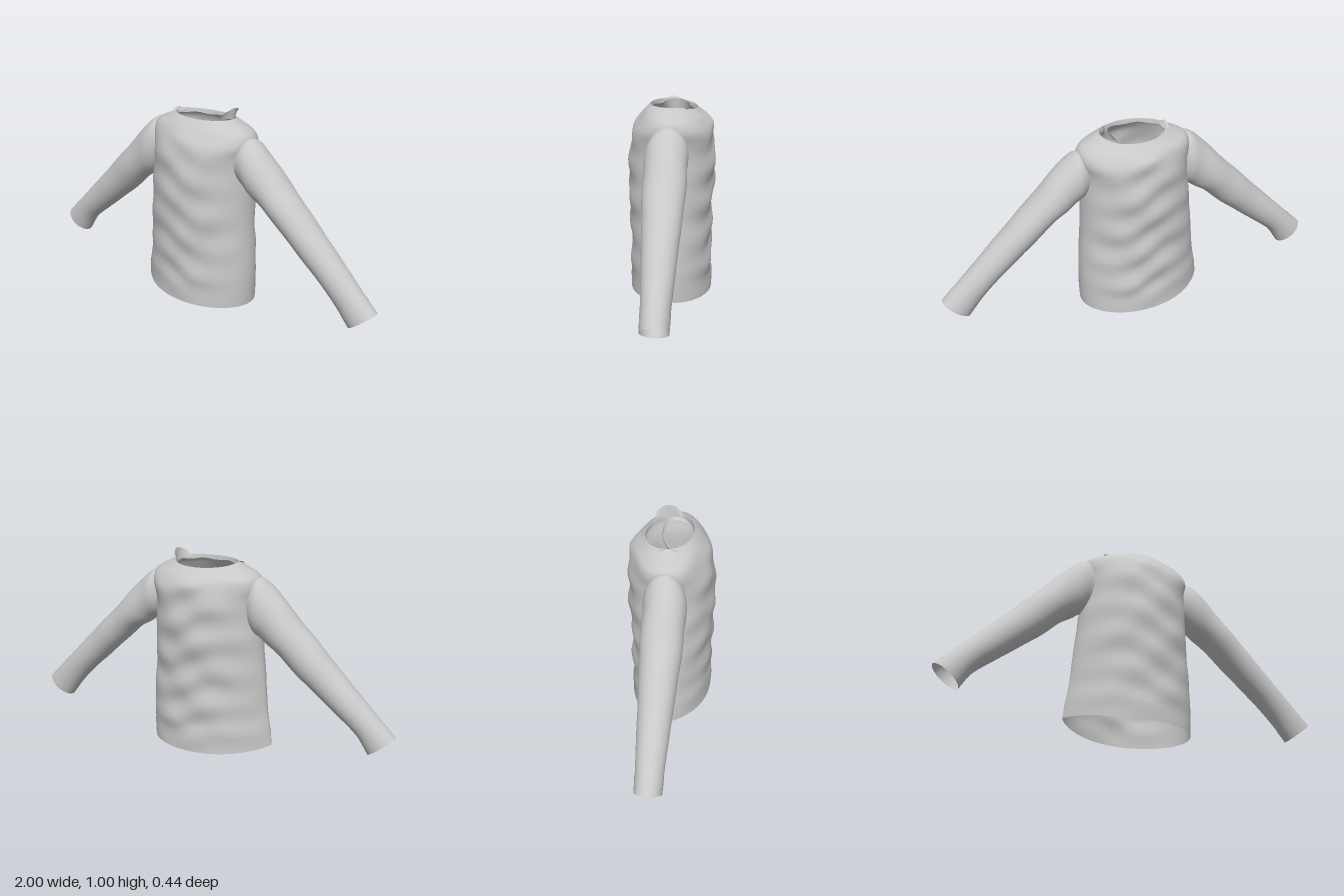
import * as THREE from 'three';

// Catmull-Rom blend through rows of numbers, t in 0..1
function blend(rows, t) {
  const n = rows.length - 1, s = Math.min(t * n, n - 1e-6), i = Math.floor(s), f = s - i;
  const at = k => rows[Math.max(0, Math.min(n, k))];
  return rows[i].map((p1, k) => {
    const p0 = at(i - 1)[k], p2 = at(i + 1)[k], p3 = at(i + 2)[k];
    return 0.5 * (2 * p1 + (p2 - p0) * f + (2 * p0 - 5 * p1 + 4 * p2 - p3) * f * f
      + (3 * p1 - p0 - 3 * p2 + p3) * f * f * f);
  });
}

// Surface from point(u, t): u runs round (or across), t runs along
function surface(point, nu, nt, closed) {
  const pos = [], idx = [], w = closed ? nu : nu + 1;
  for (let j = 0; j <= nt; j++)
    for (let i = 0; i < w; i++) pos.push(...point(i / nu, j / nt));
  for (let j = 0; j < nt; j++)
    for (let i = 0; i < nu; i++) {
      const a = j * w + i, b = j * w + (i + 1) % w;
      idx.push(a, a + w, b, b, a + w, b + w);
    }
  const g = new THREE.BufferGeometry();
  g.setAttribute('position', new THREE.Float32BufferAttribute(pos, 3));
  g.setIndex(idx);
  g.computeVertexNormals();
  return g;
}

// Body rows: height, right edge, left edge, front, back
const BODY = [
  [0.005, -0.37, 0.28, 0.205, 0.2],
  [0.1, -0.36, 0.285, 0.206, 0.2],
  [0.2, -0.345, 0.285, 0.205, 0.2],
  [0.3, -0.335, 0.28, 0.206, 0.2],
  [0.4, -0.325, 0.273, 0.21, 0.2],
  [0.5, -0.312, 0.268, 0.214, 0.206],
  [0.6, -0.3, 0.265, 0.214, 0.213],
  [0.7, -0.287, 0.262, 0.211, 0.213],
  [0.78, -0.287, 0.265, 0.204, 0.21],
  [0.845, -0.297, 0.28, 0.186, 0.203],
  [0.895, -0.28, 0.265, 0.155, 0.178],
  [0.928, -0.215, 0.21, 0.13, 0.148],
  [0.952, -0.168, 0.162, 0.106, 0.128],
];

function bodyPoint(u, t, grow = 0) {
  const [h, xr, xl, zf, zb] = blend(BODY, t);
  const a = u * Math.PI * 2, c = Math.cos(a), s = Math.sin(a);
  const low = Math.max(0, 1 - h / 0.6);
  // The right side seam is pinched towards the hem
  const pinch = c < 0 ? 1 + 0.5 * low * -c : 1;
  const sz = Math.sign(s) * Math.pow(Math.abs(s), pinch);
  const x0 = c > 0 ? c * xl : -c * xr;
  let z = sz * (sz > 0 ? zf : zb);
  // Soft cloth folds across the front and back
  const fold = 0.0045 * Math.sin(h * 38 + x0 * 9 + Math.sin(x0 * 14)) + 0.003 * Math.sin(h * 23 - x0 * 21);
  const fade = Math.min(1, h / 0.15) * Math.min(1, (0.96 - h) / 0.1);
  z += sz * fold * fade * (sz < 0 ? 1.3 : 1);
  const tilt = 0.03 * Math.max(0, -c) ** 2 * Math.max(0, 1 - h / 0.3);
  const top = Math.max(0, (h - 0.86) / 0.09);
  return [x0 + c * grow, h + tilt + 0.004 * s * (1 - t) - 0.018 * Math.max(0, -s) * top, z + s * grow];
}

// Sleeve rows: top edge x, y, bottom edge x, y, half depth
const SLEEVES = {
  right: [
    [0.24, 0.87, 0.25, 0.64, 0.08],
    [0.31, 0.888, 0.285, 0.605, 0.1],
    [0.405, 0.8, 0.335, 0.575, 0.102],
    [0.525, 0.675, 0.4, 0.53, 0.1],
    [0.62, 0.58, 0.5, 0.44, 0.092],
    [0.712, 0.485, 0.6, 0.36, 0.083],
    [0.815, 0.383, 0.715, 0.27, 0.075],
    [0.91, 0.288, 0.815, 0.187, 0.067],
    [1.0, 0.2, 0.875, 0.1, 0.063],
  ],
  left: [
    [0.23, 0.865, 0.24, 0.66, 0.08],
    [0.3, 0.873, 0.275, 0.63, 0.1],
    [0.4, 0.785, 0.33, 0.59, 0.102],
    [0.515, 0.665, 0.4, 0.545, 0.1],
    [0.615, 0.567, 0.5, 0.455, 0.092],
    [0.71, 0.473, 0.6, 0.363, 0.083],
    [0.81, 0.372, 0.71, 0.265, 0.075],
    [0.905, 0.277, 0.8, 0.17, 0.067],
    [0.996, 0.185, 0.868, 0.085, 0.063],
  ],
};

function sleevePoint(rows, side, u, t, grow = 0) {
  const [tx, ty, bx, by, d] = blend(rows, t);
  const a = u * Math.PI * 2;
  // Creases gather near the shoulder and elbow
  const ripple = 1 + 0.025 * Math.sin(t * 30 + 2 * Math.sin(a)) * Math.max(0, 1 - t * 1.2);
  const k = Math.cos(a) * (0.5 + grow * 4) * ripple;
  const x = (tx + bx) / 2 + (tx - bx) * k, y = (ty + by) / 2 + (ty - by) * k;
  return [side * x, y, 0.003 + Math.sin(a) * (d * ripple + grow)];
}

export function createModel() {
  const shirt = new THREE.Group();
  shirt.name = 'longSleeveShirt';
  const cloth = new THREE.MeshStandardMaterial({ color: 0xc8c8c8, side: THREE.DoubleSide });
  cloth.name = 'lightGreyCloth';
  const add = (name, geometry) => {
    const mesh = new THREE.Mesh(geometry, cloth);
    mesh.name = name;
    shirt.add(mesh);
  };

  // Body, open at hem and neck
  add('body', surface((u, t) => bodyPoint(u, t), 80, 90, true));
  add('hemBand', surface((u, t) => bodyPoint(u, t * 0.075, 0.002), 80, 5, true));

  // Collar lining turned down inside the neck
  add('collarLining', surface((u, t) => {
    const [x, y, z] = bodyPoint(u, 1);
    const lip = 0.006 * Math.sin(t * Math.PI) + 0.003 * Math.sin(u * 44) * t;
    return [x * (1 - 0.03 * t), y + lip - 0.022 * t, z * (1 - 0.03 * t)];
  }, 64, 5, true));

  // Sleeves with cuffs
  for (const [name, side] of [['left', 1], ['right', -1]]) {
    const rows = SLEEVES[name];
    add(name + 'Sleeve', surface((u, t) => sleevePoint(rows, side, u, t), 40, 60, true));
    add(name + 'Cuff', surface((u, t) => sleevePoint(rows, side, u, 0.91 + 0.09 * t, 0.0015), 40, 5, true));
  }

  // Collar flap standing up on the left shoulder
  add('collarFlap', surface((u, t) => {
    const arch = Math.pow(Math.sin(Math.PI * (0.06 + 0.88 * u)), 0.5);
    return [0.105 + 0.045 * t * arch + 0.04 * Math.sin(Math.PI * u) * (1 - t),
      0.948 + 0.05 * t * arch, 0.035 - 0.13 * u];
  }, 20, 6, false));

  // Small turned-up corner of the collar on the right shoulder
  add('collarCorner', surface((u, t) => [
    -0.155 - 0.028 * t, 0.942 + 0.016 * t * Math.sin(Math.PI * u), 0.05 - 0.09 * u,
  ], 10, 3, false));

  return shirt;
}
